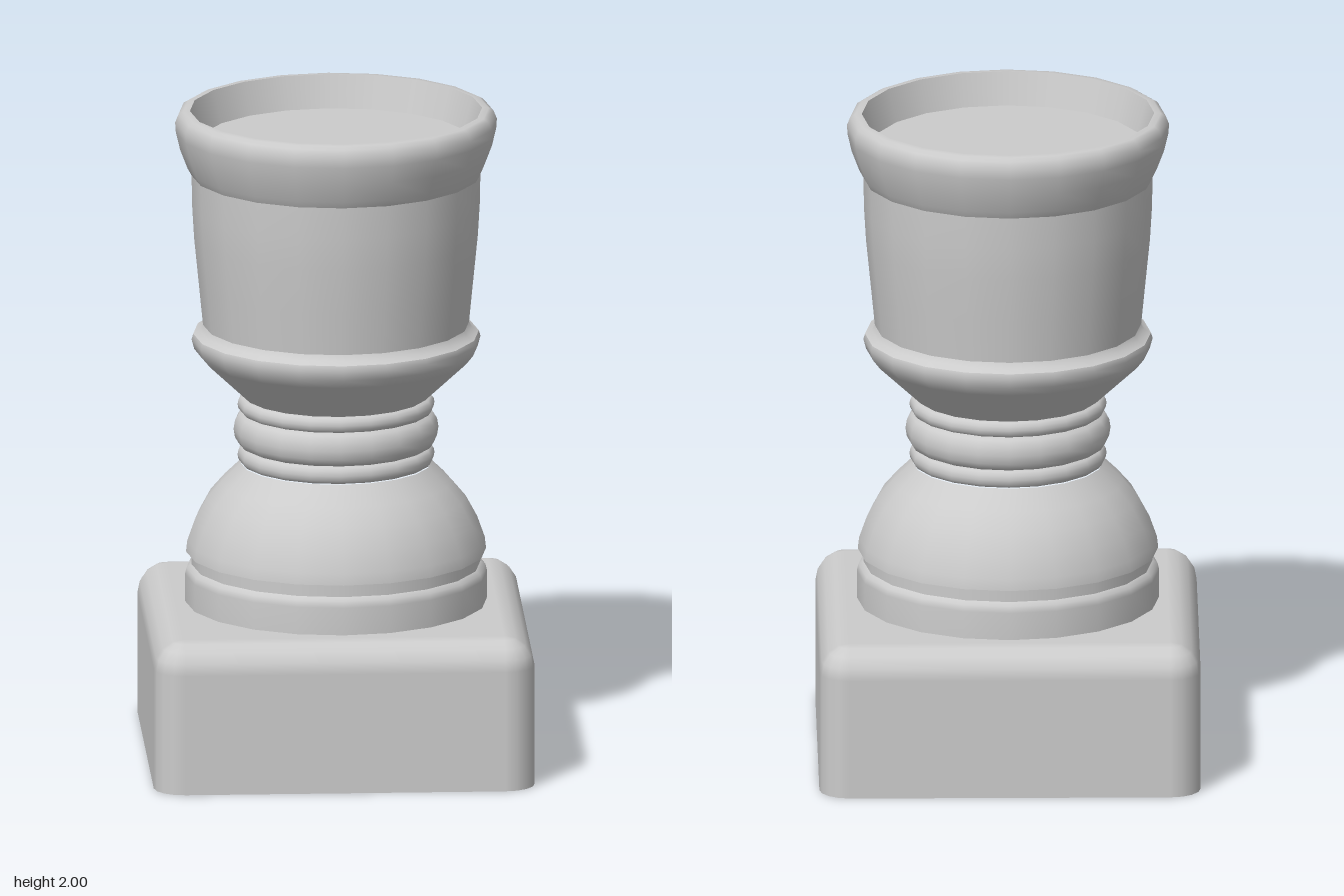
import * as THREE from 'three';

const SIDES = 20;
const material = new THREE.MeshStandardMaterial({ color: 0xcccccc });

// Turned part: profile of [radius, height] pairs; smooth within one part, sharp between parts
function turned(name, profile) {
  const points = profile.map(([r, y]) => new THREE.Vector2(r, y));
  const mesh = new THREE.Mesh(new THREE.LatheGeometry(points, SIDES), material);
  mesh.name = name;
  return mesh;
}

// Bulging neck ring between two heights
function neckRing(name, y0, y1, rIn, rOut) {
  const profile = [];
  for (let i = 0; i <= 6; i++) {
    const a = (i / 6) * Math.PI;
    profile.push([rIn + (rOut - rIn) * Math.sin(a), (y0 + y1) / 2 - Math.cos(a) * (y1 - y0) / 2]);
  }
  return turned(name, profile);
}

// Square block with rounded uprights and rounded top edges, flat underneath
function roundedBlock(half, height, radius, steps) {
  const pos = [], nor = [], idx = [];
  const core = half - radius;
  const n = 4 * (steps + 1);
  const addRing = (y, tilt, normalY) => {
    for (let c = 0; c < 4; c++) {
      const mid = Math.PI / 4 + c * Math.PI / 2;
      for (let s = 0; s <= steps; s++) {
        const a = (c + s / steps) * Math.PI / 2;
        const ca = Math.cos(a), sa = Math.sin(a);
        pos.push(Math.sign(Math.cos(mid)) * core + radius * Math.cos(tilt) * ca, y,
          Math.sign(Math.sin(mid)) * core + radius * Math.cos(tilt) * sa);
        if (normalY) nor.push(0, normalY, 0);
        else nor.push(Math.cos(tilt) * ca, Math.sin(tilt), Math.cos(tilt) * sa);
      }
    }
  };
  addRing(0, 0);
  for (let i = 0; i <= steps; i++) {
    const t = (i / steps) * Math.PI / 2;
    addRing(height - radius + radius * Math.sin(t), t);
  }
  for (let r = 0; r <= steps; r++) {
    for (let i = 0; i < n; i++) {
      const a = r * n + i, b = r * n + (i + 1) % n;
      idx.push(a, a + n, b, b, a + n, b + n);
    }
  }
  // Top and bottom caps
  const top = (steps + 1) * n, bottom = (steps + 2) * n;
  addRing(0, 0, -1);
  for (let i = 1; i < n - 1; i++) {
    idx.push(top, top + i + 1, top + i);
    idx.push(bottom, bottom + i, bottom + i + 1);
  }
  const geometry = new THREE.BufferGeometry();
  geometry.setAttribute('position', new THREE.Float32BufferAttribute(pos, 3));
  geometry.setAttribute('normal', new THREE.Float32BufferAttribute(nor, 3));
  geometry.setIndex(idx);
  return geometry;
}

export function createModel() {
  const model = new THREE.Group();
  model.name = 'pedestalCup';

  // Square base
  const base = new THREE.Mesh(roundedBlock(0.58, 0.465, 0.093, 4), material);
  base.name = 'base';
  model.add(base);

  // Foot: plinth ring, groove and bell
  model.add(turned('plinthRing', [[0.46, 0.46], [0.46, 0.55], [0.455, 0.57], [0.44, 0.58]]));
  model.add(turned('footGroove', [[0.44, 0.578], [0.44, 0.62]]));
  model.add(turned('bellUnderside', [[0.44, 0.62], [0.457, 0.62]]));
  model.add(turned('bell', [[0.457, 0.62], [0.453, 0.655], [0.43, 0.72], [0.395, 0.785],
    [0.35, 0.837], [0.29, 0.895]]));

  // Neck
  model.add(neckRing('lowerNeckRing', 0.895, 0.95, 0.28, 0.3));
  model.add(neckRing('middleNeckRing', 0.95, 1.055, 0.28, 0.312));
  model.add(neckRing('upperNeckRing', 1.055, 1.105, 0.28, 0.3));

  // Cup: flared underside, ledge, bowl and rim
  model.add(turned('cupUnderside', [[0.28, 1.105], [0.41, 1.227], [0.432, 1.255], [0.44, 1.285], [0.435, 1.302]]));
  model.add(turned('cupLedge', [[0.435, 1.302], [0.415, 1.313], [0.405, 1.33]]));
  model.add(turned('bowl', [[0.405, 1.328], [0.418, 1.46], [0.432, 1.6], [0.438, 1.7], [0.44, 1.8]]));
  model.add(turned('rim', [[0.438, 1.795], [0.452, 1.82], [0.475, 1.88], [0.488, 1.935], [0.49, 1.965],
    [0.48, 1.99], [0.465, 1.999], [0.445, 2]]));
  model.add(turned('rimInside', [[0.445, 2], [0.415, 1.9]]));
  model.add(turned('cupFloor', [[0.415, 1.9], [0, 1.9]]));
  return model;
}
